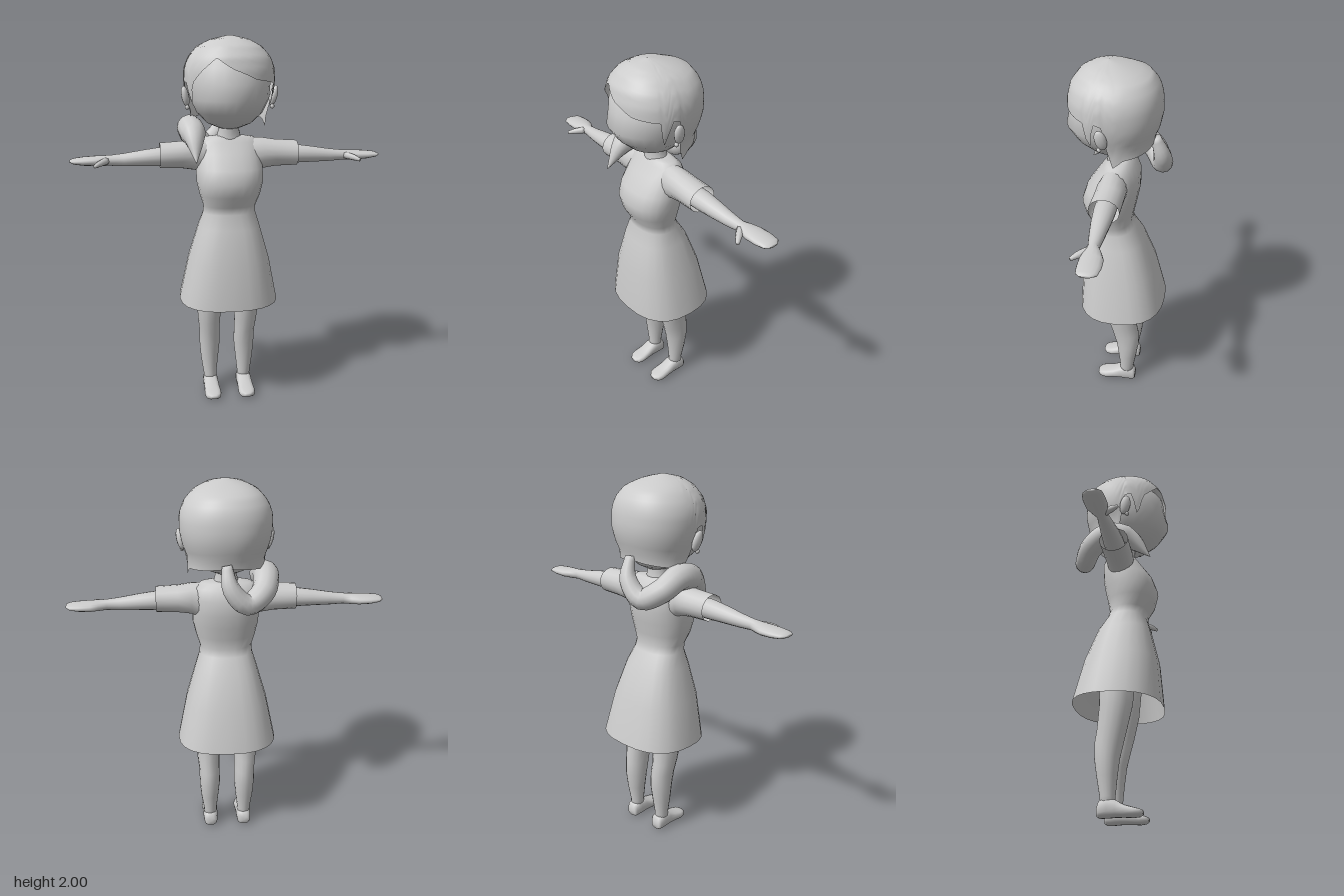
import * as THREE from 'three';

const V = (x, y, z) => new THREE.Vector3(x, y, z);
const X = V(1, 0, 0), Y = V(0, 1, 0), Z = V(0, 0, 1);
const skin = new THREE.MeshStandardMaterial({ color: 0xcccccc });
const cloth = new THREE.MeshStandardMaterial({ color: 0xcccccc, side: THREE.DoubleSide });

// Rounded ring around c; e below 1 makes it boxier
function ring(c, A, B, ra, rb, n = 20, e = 1) {
  const bend = (v) => Math.sign(v) * Math.abs(v) ** e;
  return Array.from({ length: n }, (_, j) => {
    const a = (j / n) * Math.PI * 2;
    return c.clone().addScaledVector(A, bend(Math.cos(a)) * ra).addScaledVector(B, bend(Math.sin(a)) * rb);
  });
}

// Skin a list of rings, optionally closing the first and last
function loft(rings, capStart = true, capEnd = true) {
  const n = rings[0].length, pts = rings.flat(), idx = [];
  for (let i = 0; i < rings.length - 1; i++)
    for (let j = 0; j < n; j++) {
      const k = (j + 1) % n, a = i * n + j, b = i * n + k;
      idx.push(a, b, b + n, a, b + n, a + n);
    }
  const cap = (r, flip) => {
    const mid = rings[r].reduce((s, p) => s.add(p), V(0, 0, 0)).divideScalar(n);
    const m = pts.push(mid) - 1;
    for (let j = 0; j < n; j++) {
      const a = r * n + j, b = r * n + ((j + 1) % n);
      if (flip) idx.push(m, b, a); else idx.push(m, a, b);
    }
  };
  if (capStart) cap(0, true);
  if (capEnd) cap(rings.length - 1, false);
  const g = new THREE.BufferGeometry().setFromPoints(pts);
  g.setIndex(idx);
  g.computeVertexNormals();
  return g;
}

// Upright ring from [y, halfWidth, zFront, zBack, x]
const level = ([y, rx, zf, zb, x = 0], n, e, tilt = 0) =>
  ring(V(x, y, (zf + zb) / 2), V(0, tilt, 1), X, (zf - zb) / 2, rx, n, e);
// Sideways ring from [x, y, z, halfHeight, halfDepth]
const side = ([x, y, z, ry, rz]) => ring(V(x, y, z), Y, Z, ry, rz, 16);

// Tapering strand along a curve
function strand(points, radii, steps, n) {
  const curve = new THREE.CatmullRomCurve3(points.map((p) => V(...p)));
  const f = curve.computeFrenetFrames(steps);
  return loft(Array.from({ length: steps + 1 }, (_, i) => {
    const r = sample(radii, i / steps)[0];
    return ring(curve.getPointAt(i / steps), f.normals[i], f.binormals[i], r, r, n);
  }));
}

// Linear lookup in rows of [key, ...values], keys ascending
function sample(rows, k) {
  let i = 1;
  while (i < rows.length - 1 && rows[i][0] < k) i++;
  const a = rows[i - 1], b = rows[i];
  const t = THREE.MathUtils.clamp((k - a[0]) / (b[0] - a[0]), 0, 1);
  return a.slice(1).map((v, m) => v + (b[m + 1] - v) * t);
}

// Hair shell: head outline down to a hairline that varies with the angle
function hairGeometry() {
  const outline = [
    [1.62, 0.198, 0.225, -0.175], [1.68, 0.222, 0.245, -0.2], [1.75, 0.235, 0.253, -0.215],
    [1.83, 0.235, 0.25, -0.212], [1.89, 0.213, 0.235, -0.195], [1.945, 0.165, 0.195, -0.15],
    [1.98, 0.095, 0.14, -0.05], [2, 0, 0.05, 0.05],
  ];
  const hairline = [
    [-180, 1.6], [-112, 1.57], [-98, 1.57], [-90, 1.62], [-85, 1.76], [-75, 1.77], [-67, 1.64],
    [-58, 1.765], [-40, 1.83], [-23, 1.89], [0, 1.83], [25, 1.785], [60, 1.765], [67, 1.62],
    [75, 1.77], [84, 1.76], [90, 1.61], [96, 1.53], [110, 1.57], [180, 1.6],
  ];
  const n = 90, rows = 16, rings = [];
  for (let i = rows; i >= 1; i--)
    rings.push(Array.from({ length: n }, (_, j) => {
      const deg = (j / n) * 360;
      const low = sample(hairline, deg > 180 ? deg - 360 : deg)[0];
      const y = 2 - (2 - low) * (i / rows) ** 1.7;
      return level([y, ...sample(outline, y)], n, 0.92)[j];
    }));
  return loft(rings, false, true);
}

export function createModel() {
  const model = new THREE.Group();
  const add = (name, geo, mat = skin, parent = model) => {
    const m = new THREE.Mesh(geo, mat);
    m.name = name;
    parent.add(m);
    return m;
  };

  // Head, neck and hair
  add('head', loft([
    [1.53, 0.055, 0.09, -0.05], [1.555, 0.115, 0.15, -0.1], [1.61, 0.17, 0.215, -0.14],
    [1.68, 0.203, 0.263, -0.175], [1.76, 0.213, 0.245, -0.195], [1.84, 0.21, 0.236, -0.19],
    [1.91, 0.165, 0.18, -0.14], [1.95, 0.08, 0.12, -0.03],
  ].map((s) => level(s, 24))));
  add('neck', loft([
    [1.42, 0.085, 0.07, -0.06], [1.48, 0.065, 0.065, -0.045], [1.52, 0.055, 0.065, -0.04], [1.58, 0.055, 0.07, -0.04],
  ].map((s) => level(s, 16))));
  add('hair', hairGeometry(), cloth);
  add('ponytail', strand(
    [[0.01, 1.62, -0.18], [-0.01, 1.51, -0.215], [-0.09, 1.425, -0.205], [-0.175, 1.47, -0.15],
      [-0.2, 1.525, -0.05], [-0.19, 1.49, 0.07], [-0.19, 1.37, 0.18]],
    [[0, 0.025], [0.15, 0.045], [0.4, 0.06], [0.62, 0.068], [0.75, 0.068], [0.88, 0.035], [1, 0.002]], 32, 12));

  // Dress with a flared, open skirt
  add('dress', loft([
    [0.58, 0.27, 0.213, -0.262], [0.82, 0.22, 0.195, -0.205], [1.0, 0.167, 0.155, -0.135],
    [1.08, 0.142, 0.133, -0.085], [1.12, 0.14, 0.138, -0.07], [1.18, 0.16, 0.175, -0.08],
    [1.25, 0.176, 0.193, -0.095], [1.32, 0.178, 0.17, -0.107], [1.4, 0.172, 0.115, -0.108],
    [1.455, 0.165, 0.075, -0.08], [1.48, 0.13, 0.06, -0.055], [1.487, 0.07, 0.05, -0.04],
  ].map((s, i) => level(s, 24, i < 3 ? 0.8 : 0.88, i ? 0 : -0.04)), false, true), cloth);

  // Limbs, built on the left and mirrored
  for (const s of [1, -1]) {
    const limbs = new THREE.Group();
    limbs.name = s > 0 ? 'leftLimbs' : 'rightLimbs';
    limbs.scale.x = s;
    model.add(limbs);

    add('sleeve', loft([
      [0.11, 1.37, 0.01, 0.105, 0.07], [0.18, 1.39, 0.01, 0.083, 0.075],
      [0.25, 1.39, 0.01, 0.072, 0.075], [0.365, 1.388, 0.012, 0.067, 0.077],
    ].map(side), false, false), cloth, limbs);
    add('arm', loft([
      [0.2, 1.385, 0.01, 0.05, 0.055], [0.36, 1.382, 0.01, 0.05, 0.054], [0.45, 1.377, 0.01, 0.043, 0.047],
      [0.55, 1.37, 0.008, 0.034, 0.036], [0.62, 1.368, 0.006, 0.028, 0.027], [0.66, 1.367, 0, 0.027, 0.042],
      [0.7, 1.366, -0.003, 0.026, 0.055], [0.76, 1.366, -0.004, 0.022, 0.056],
      [0.808, 1.367, -0.003, 0.015, 0.049], [0.827, 1.368, 0, 0.007, 0.028],
    ].map(side)), skin, limbs);
    add('thumb', strand([[0.64, 1.368, 0.02], [0.67, 1.362, 0.06], [0.7, 1.352, 0.095]],
      [[0, 0.02], [0.6, 0.016], [1, 0.009]], 5, 8), skin, limbs);

    add('leg', loft([
      [0.04, 0.036, -0.02, -0.1, 0.097], [0.1, 0.037, -0.022, -0.1, 0.098], [0.2, 0.05, -0.012, -0.117, 0.1],
      [0.29, 0.058, 0, -0.13, 0.099], [0.37, 0.058, 0.02, -0.13, 0.1], [0.44, 0.062, 0.038, -0.118, 0.104],
      [0.56, 0.073, 0.066, -0.108, 0.103], [0.7, 0.08, 0.08, -0.11, 0.1], [0.88, 0.07, 0.07, -0.09, 0.08],
    ].map((r) => level(r, 16))), skin, limbs);
    // Foot sections: [z, bottom, top, halfWidth]
    add('foot', loft([
      [-0.112, 0.008, 0.055, 0.028], [-0.1, 0, 0.085, 0.038], [-0.06, 0, 0.1, 0.042], [-0.02, 0.003, 0.085, 0.042],
      [0.02, 0.003, 0.062, 0.044], [0.065, 0, 0.048, 0.047], [0.095, 0.003, 0.04, 0.04], [0.112, 0.012, 0.032, 0.02],
    ].map(([z, b, t, w]) => ring(V(0.097, (b + t) / 2, z), X, Y, w, (t - b) / 2, 16, 0.75))), skin, limbs);

    // Ear with a small stud
    const ear = add('ear', new THREE.SphereGeometry(1, 12, 10), skin, limbs);
    ear.scale.set(0.02, 0.055, 0.03);
    ear.position.set(0.23, 1.695, 0.05);
    ear.rotation.set(0.2, 0, -0.2);
    add('earStud', new THREE.SphereGeometry(0.012, 8, 6), skin, limbs).position.set(0.222, 1.64, 0.06);
  }
  return model;
}
